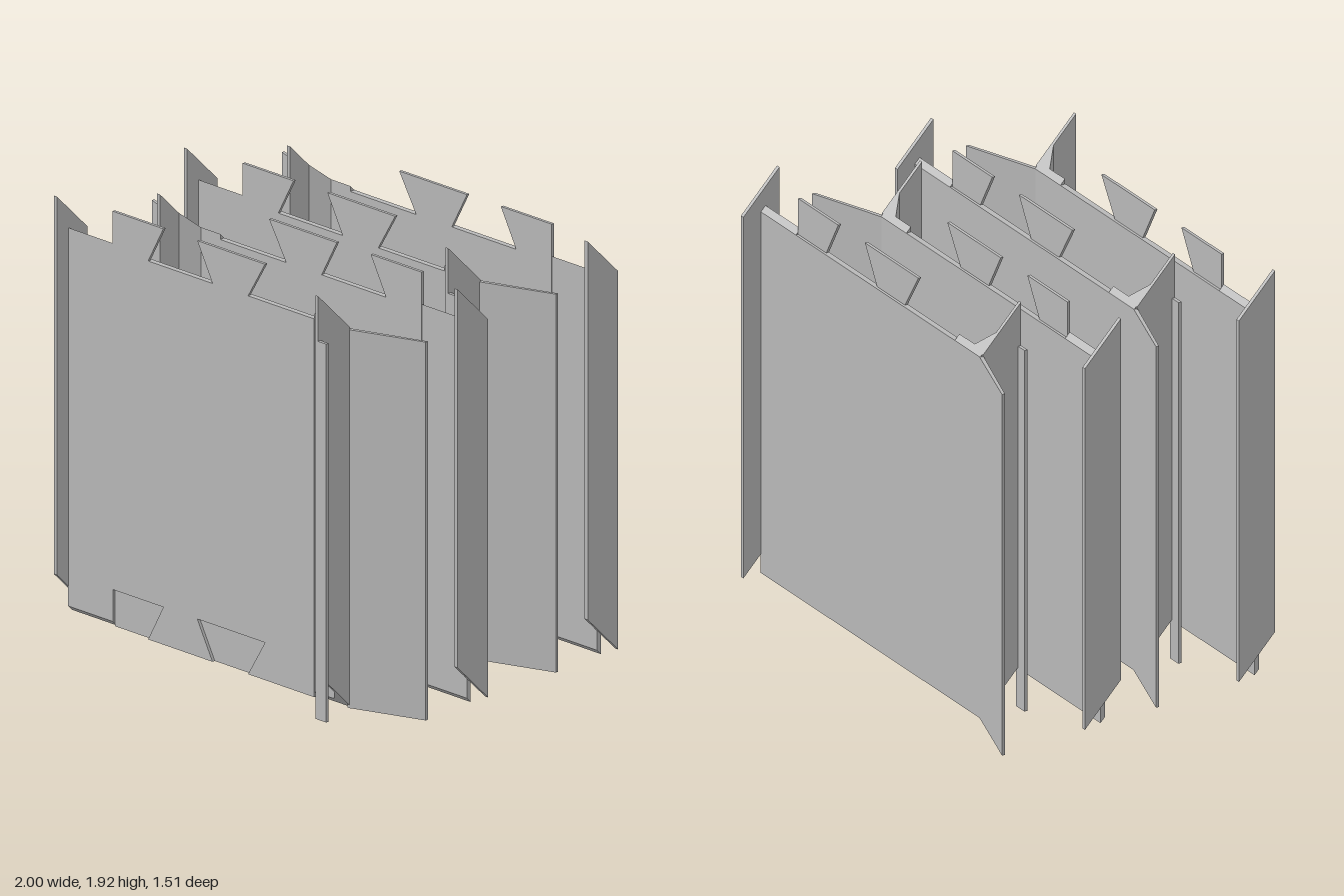
import * as THREE from 'three';

const H = 1.715; // height of every section

export function createModel() {
  const model = new THREE.Group();
  const grey = new THREE.MeshStandardMaterial({ color: 0xb8b8b8 });
  grey.name = 'grey metal';

  const outline = (points, side) =>
    new THREE.Shape(points.map(([x, y]) => new THREE.Vector2(x * side, y)));

  function add(group, name, geometry) {
    const mesh = new THREE.Mesh(geometry, grey);
    mesh.name = name;
    group.add(mesh);
  }

  // Upright section from a plan outline of [x, z]; slanted ends rise 45 degrees from z = slantFrom
  function upright(points, side, slantFrom = null) {
    const g = new THREE.ExtrudeGeometry(outline(points.map(([x, z]) => [x, -z]), side),
      { depth: H, bevelEnabled: false });
    g.rotateX(-Math.PI / 2);
    if (slantFrom !== null) {
      const p = g.attributes.position;
      for (let i = 0; i < p.count; i++) p.setY(i, p.getY(i) + p.getZ(i) - slantFrom);
      g.computeVertexNormals();
    }
    return g;
  }

  const rect = (x0, x1, z0, z1) => [[x0, z0], [x1, z0], [x1, z1], [x0, z1]];

  // Front layer outline with dovetail tabs on top and matching notches below
  const dovetailed = [
    [-0.51, 0], [-0.42, 0.17], [-0.72, 0.17],
    [-0.72, H + 0.17], [-0.42, H + 0.17], [-0.51, H],
    [-0.13, H], [-0.22, H + 0.17], [0.18, H + 0.17], [0.08, H],
    [0.47, H], [0.47, 0],
    [0.08, 0], [0.18, 0.17], [-0.22, 0.17], [-0.13, 0],
  ];

  function createPanel(side) {
    const panel = new THREE.Group();
    // Flat sheet: plain backing, dovetailed face and slanted side strips
    add(panel, 'backSheet', upright(rect(-0.72, 0.47, 0, 0.012), side));
    const face = new THREE.ExtrudeGeometry(outline(dovetailed, side),
      { depth: 0.014, bevelEnabled: false });
    face.translate(0, 0, 0.012);
    add(panel, 'dovetailFace', face);
    add(panel, 'outerStrip', upright(rect(-0.985, -0.72, 0, 0.024), side, 0));
    add(panel, 'innerStrip', upright(rect(0.47, 0.66, 0, 0.024), side, 0));
    // Cross flange on one edge
    add(panel, 'endFlange', upright(rect(-1, -0.982, -0.09, 0.095), side, -0.09));
    // Angled wing on the other edge
    add(panel, 'wing', upright(
      [[0.655, 0], [1, -0.12], [1, -0.106], [0.668, 0.014], [0.655, 0.014]], side));
    // Standing web with corner gusset and hooked foot
    add(panel, 'web', upright(rect(0.651, 0.667, 0.01, 0.205), side, 0));
    add(panel, 'gusset', upright([[0.58, 0.02], [0.652, 0.02], [0.652, 0.09]], side, 0));
    add(panel, 'foot', upright(rect(0.651, 0.715, 0.19, 0.205), side));
    return panel;
  }

  // Four panels one behind another, alternately mirrored
  for (let i = 0; i < 4; i++) {
    const panel = createPanel(i % 2 ? -1 : 1);
    panel.name = 'panel' + (i + 1);
    panel.position.z = 0.547 - i * 0.395;
    model.add(panel);
  }
  return model;
}
